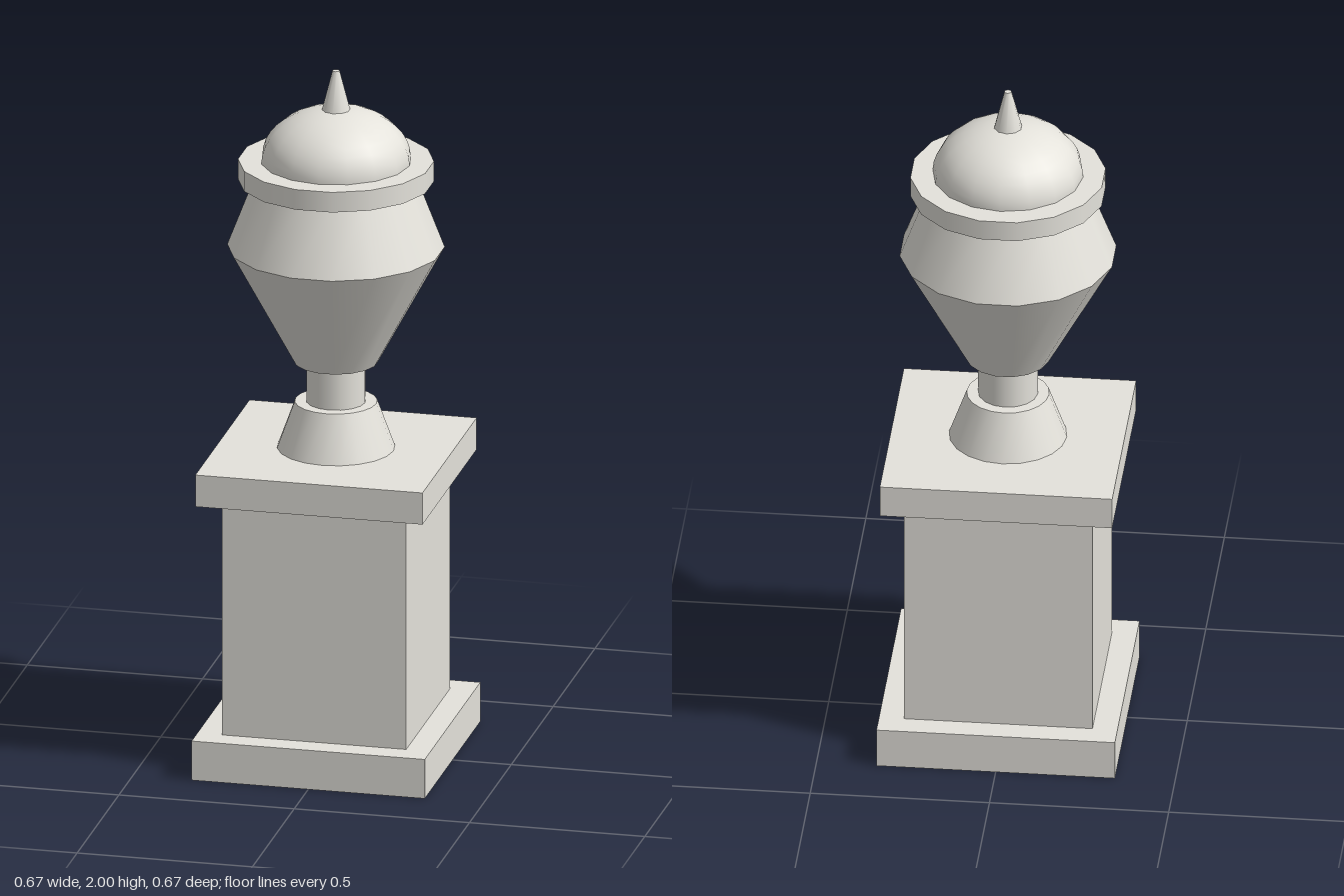
import * as THREE from 'three';

// Stone urn finial on a square pedestal; every part is a shell open underneath
export function createModel() {
  const group = new THREE.Group();
  const stone = new THREE.MeshStandardMaterial({ color: 0xe4e2db, side: THREE.DoubleSide });
  stone.name = 'pale stone';

  const add = (name, geometry, y) => {
    const mesh = new THREE.Mesh(geometry, stone);
    mesh.name = name;
    mesh.position.y = y;
    group.add(mesh);
  };
  // Removes the underside, given its face group
  const openBelow = (geometry, groupIndex) => {
    const { start, count } = geometry.groups[groupIndex];
    const index = Array.from(geometry.index.array);
    index.splice(start, count);
    geometry.setIndex(index);
    geometry.clearGroups();
    return geometry;
  };
  const block = (name, width, y0, y1) =>
    add(name, openBelow(new THREE.BoxGeometry(width, y1 - y0, width), 3), (y0 + y1) / 2);
  const turned = (name, rBottom, rTop, y0, y1, sides, turn = 0) => {
    const geometry = new THREE.CylinderGeometry(rTop, rBottom, y1 - y0, sides);
    add(name, openBelow(geometry, 2).rotateY(turn), (y0 + y1) / 2);
  };

  // Pedestal
  block('pedestalBase', 0.665, 0, 0.115);
  block('pedestalShaft', 0.526, 0.115, 0.802);
  block('pedestalCap', 0.648, 0.802, 0.895);

  // Foot and neck
  turned('urnFoot', 0.164, 0.115, 0.895, 1.03, 20);
  turned('urnNeck', 0.083, 0.083, 1.03, 1.15, 16);

  // Sixteen-sided bowl with flat sides facing the axes
  const half = Math.PI / 16;
  turned('urnLowerBowl', 0.117, 0.302, 1.147, 1.486, 16, half);
  turned('urnUpperBowl', 0.302, 0.228, 1.486, 1.678, 16, half);
  turned('urnCollar', 0.272, 0.272, 1.678, 1.737, 16, half);

  // Flattened dome lid, its rim sunk into the collar
  const dome = new THREE.SphereGeometry(0.21, 16, 11, 0, Math.PI * 2, 0, Math.PI * 0.55);
  dome.scale(1, 0.152 / 0.21, 1);
  add('domeLid', dome, 1.737);

  // Tapered tip
  turned('tip', 0.04, 0.01, 1.883, 2, 10);

  return group;
}
